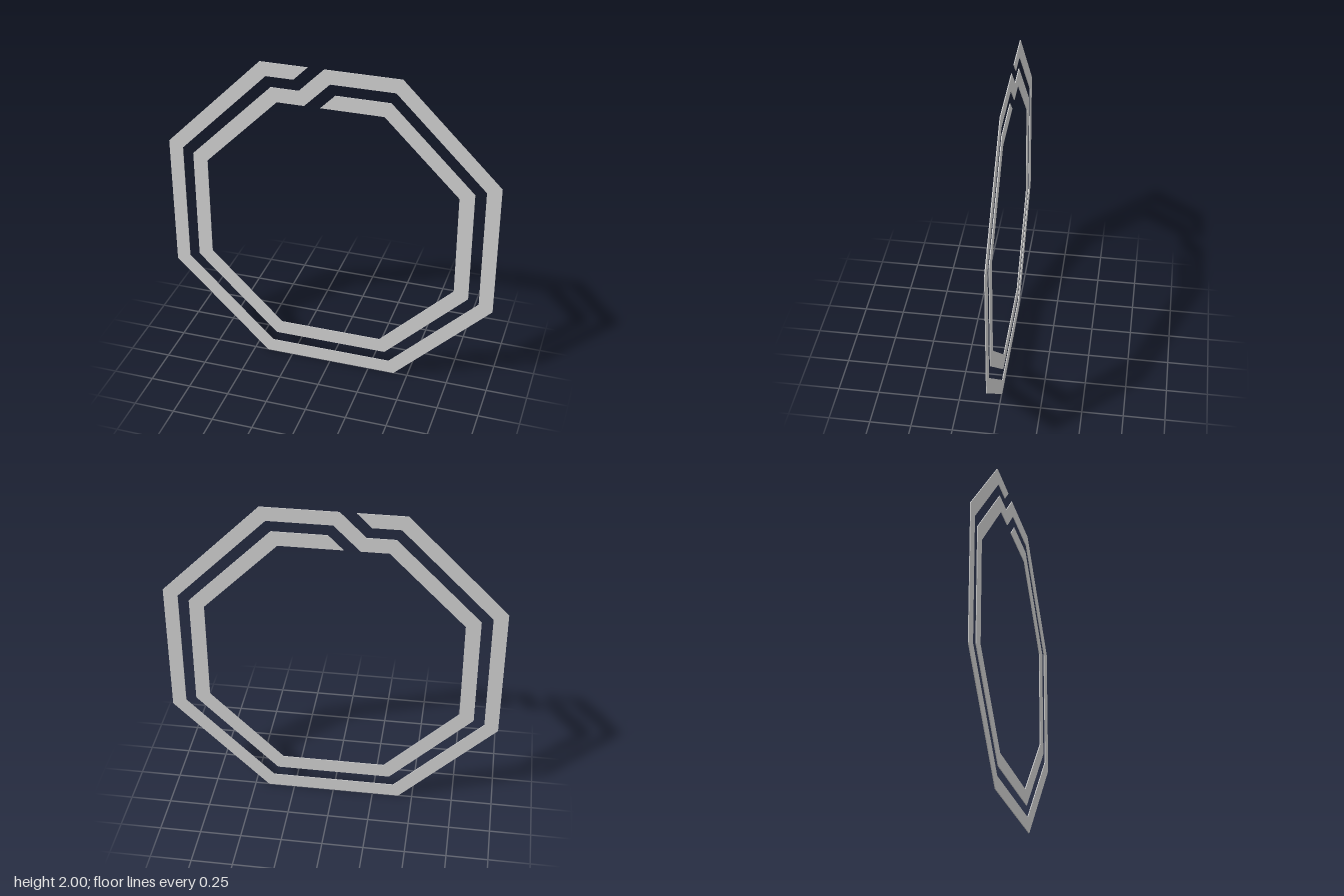
import * as THREE from 'three';

const THICKNESS = 0.005;

// Octagon corners with flat top, from the top-left corner counterclockwise to the top-right one
function octagon(apothem) {
  const r = apothem / Math.cos(Math.PI / 8);
  return Array.from({ length: 8 }, (_, k) => {
    const a = Math.PI * (0.625 + k / 4);
    return new THREE.Vector2(r * Math.cos(a), 1 + r * Math.sin(a));
  });
}

export function createModel() {
  const group = new THREE.Group();
  group.name = 'octagonalCoil';
  const p = (x, y) => new THREE.Vector2(x, y);

  // One flat strip: outer turn, diagonal crossover, inner turn
  const outline = [
    p(-0.13, 2), ...octagon(1),
    p(-0.035, 2), p(-0.185, 1.85), // crossover, upper edge
    ...octagon(0.85),
    p(0.03, 1.85), p(-0.058, 1.762), // slanted inner end
    ...octagon(0.762).reverse(),
    p(-0.153, 1.762), p(0, 1.915), // crossover, lower edge
    ...octagon(0.915).reverse(),
    p(-0.215, 1.915), // slanted outer end
  ];

  const geometry = new THREE.ExtrudeGeometry(new THREE.Shape(outline), {
    depth: THICKNESS,
    bevelEnabled: false,
  });
  geometry.translate(0, 0, -THICKNESS / 2);

  const coil = new THREE.Mesh(geometry, new THREE.MeshStandardMaterial({ color: 0xcccccc }));
  coil.name = 'coilTrack';
  group.add(coil);
  return group;
}
